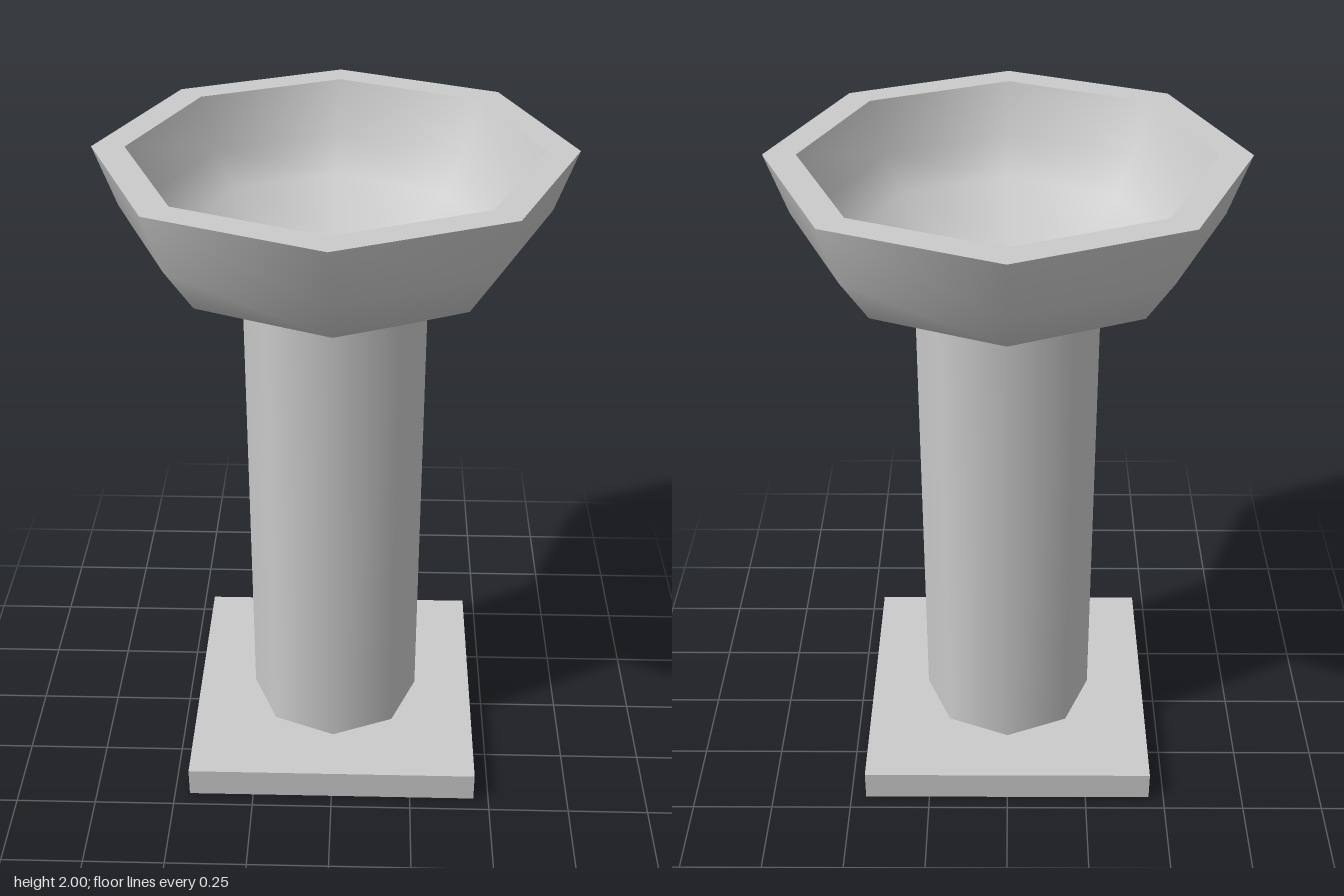
import * as THREE from 'three';

const SIDES = 8;
const BASE_HALF = 0.453, BASE_TOP = 0.095;
const COLUMN_R = 0.27, COLUMN_TOP = 1.555;

export function createModel() {
  const group = new THREE.Group();
  group.name = 'pedestalBowl';
  const material = new THREE.MeshStandardMaterial({ color: 0xcccccc });

  const add = (name, geometry, parent = group) => {
    const mesh = new THREE.Mesh(geometry, material);
    mesh.name = name;
    parent.add(mesh);
    return mesh;
  };
  // Eight-sided turned surface, smooth along its own profile
  const turned = (points) =>
    new THREE.LatheGeometry(points.map(([r, y]) => new THREE.Vector2(r, y)), SIDES);

  // Square plinth
  add('base', new THREE.BoxGeometry(BASE_HALF * 2, BASE_TOP, BASE_HALF * 2))
    .position.y = BASE_TOP / 2;

  // Octagonal shaft with corners on the axes
  const height = COLUMN_TOP - BASE_TOP;
  add('column', new THREE.CylinderGeometry(COLUMN_R, COLUMN_R, height, SIDES, 1, true))
    .position.y = BASE_TOP + height / 2;

  // Bowl: separate surfaces keep the rim edges sharp
  const bowl = new THREE.Group();
  bowl.name = 'bowl';
  group.add(bowl);
  add('bowlOutside', turned([[COLUMN_R, COLUMN_TOP], [0.52, 1.69], [0.612, 1.825], [0.675, 2]]), bowl);
  add('bowlRim', turned([[0.675, 2], [0.582, 2]]), bowl);
  add('bowlInside', turned([[0.582, 2], [0.527, 1.85], [0.45, 1.745], [0.24, 1.635], [0, 1.625]]), bowl);
  add('bowlUnderside', turned([[0, COLUMN_TOP], [COLUMN_R, COLUMN_TOP]]), bowl);

  return group;
}
